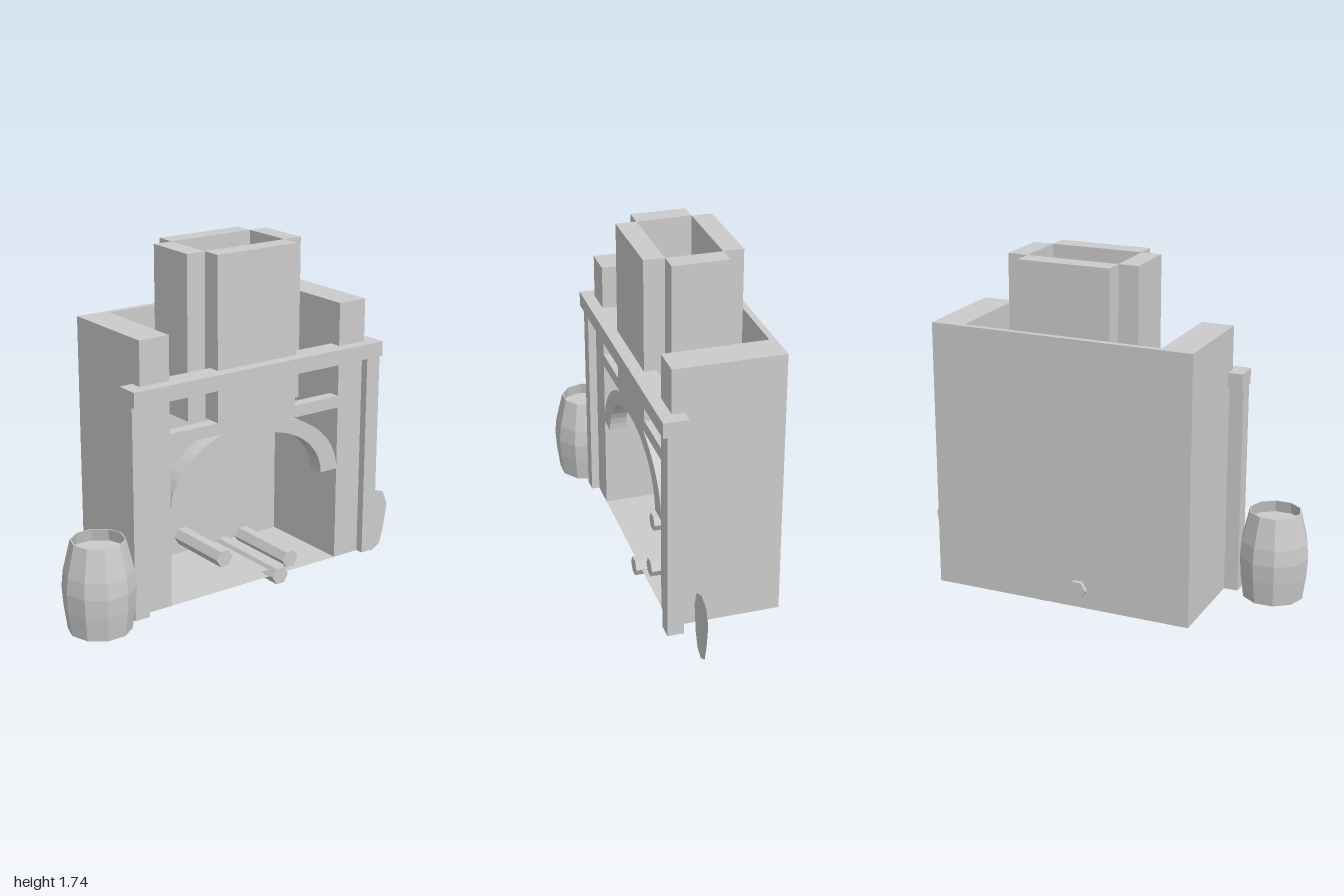
import * as THREE from 'three';

const material = new THREE.MeshStandardMaterial({ color: 0xcccccc, flatShading: true });
const thin = new THREE.MeshStandardMaterial({ color: 0xcccccc, flatShading: true, side: THREE.DoubleSide });

export function createModel() {
  const group = new THREE.Group();

  const add = (name, geometry, mat = material) => {
    const mesh = new THREE.Mesh(geometry, mat);
    mesh.name = name;
    group.add(mesh);
    return mesh;
  };

  // Box given by its limits on each axis
  const box = (name, [x0, x1], [y0, y1], [z0, z1]) =>
    add(name, new THREE.BoxGeometry(x1 - x0, y1 - y0, z1 - z0))
      .position.set((x0 + x1) / 2, (y0 + y1) / 2, (z0 + z1) / 2);

  // Horizontal sheet without thickness
  const sheet = (name, [x0, x1], y, [z0, z1]) =>
    add(name, new THREE.PlaneGeometry(x1 - x0, z1 - z0).rotateX(-Math.PI / 2), thin)
      .position.set((x0 + x1) / 2, y, (z0 + z1) / 2);

  const cx = 0.07; // middle of the fireplace
  const span = (a, b, side) => (side > 0 ? [cx + a, cx + b] : [cx - b, cx - a]);

  // Fireplace body: walls, pilasters, floor
  for (const side of [-1, 1]) {
    box('sideWall', span(0.5, 0.66, side), [0.08, 1.41], [-0.34, 0.19]);
    box('pilaster', span(0.65, 0.73, side), [0.08, 1.12], [0.15, 0.23]);
    box('chimneySide', span(0.23, 0.33, side), [0.94, 1.74], [-0.18, 0.09]);
  }
  box('backWall', [-0.43, 0.57], [0.08, 1.41], [-0.34, -0.31]);
  sheet('floor', [-0.43, 0.57], 0.08, [-0.34, 0.19]);
  sheet('hearthBed', [-0.13, 0.3], 0.105, [-0.27, 0.17]);
  box('mantelShelf', [-0.66, 0.8], [1.12, 1.195], [0.13, 0.25]);
  box('lintel', [-0.43, 0.57], [0.88, 0.94], [0.13, 0.19]);

  // Chimney front and back slabs
  box('chimneyFront', [-0.16, 0.3], [0.94, 1.74], [0.09, 0.19]);
  box('chimneyBack', [-0.16, 0.3], [0.94, 1.74], [-0.28, -0.18]);

  // Elliptical arch under the lintel
  const arch = new THREE.Shape();
  arch.absellipse(cx, 0.56, 0.5, 0.35, 0, Math.PI, false);
  arch.absellipse(cx, 0.56, 0.4, 0.28, Math.PI, 0, true);
  arch.closePath();
  add('arch', new THREE.ExtrudeGeometry(arch, { depth: 0.085, bevelEnabled: false, curveSegments: 12 }))
    .position.z = 0.105;

  // Hexagonal logs: x, y, back z, front z
  for (const [x, y, z0, z1] of [
    [-0.025, 0.175, -0.36, 0.06],
    [0.2, 0.083, -0.27, 0.22],
    [0.3, 0.13, -0.23, 0.17],
  ]) {
    const geometry = new THREE.CylinderGeometry(0.047, 0.047, z1 - z0, 6)
      .rotateY(Math.PI / 2).rotateX(Math.PI / 2);
    add('log', geometry).position.set(x, y, (z0 + z1) / 2);
  }

  // Ten-sided barrel with a sunken lid
  const profile = [
    [0, 0.08], [0.15, 0.08], [0.166, 0.2], [0.172, 0.29], [0.164, 0.37], [0.128, 0.52],
    [0.122, 0.52], [0.135, 0.46], [0, 0.46],
  ].map(([r, y]) => new THREE.Vector2(r, y));
  const barrel = new THREE.LatheGeometry(profile, 10).rotateY(Math.PI / 2);
  add('barrel', barrel, thin).position.set(-0.828, 0, 0.19);

  // Flat leaf-shaped panel beside the fireplace
  const outline = [
    [0.9, 0.345], [0.83, 0.315], [0.8, 0.235], [0.82, 0.1],
    [0.85, 0.025], [0.9, 0], [0.955, 0.03], [0.98, 0.115], [1, 0.245], [0.97, 0.32],
  ].map(([x, y]) => new THREE.Vector2(x, y));
  add('flatPanel', new THREE.ShapeGeometry(new THREE.Shape(outline)), thin).position.z = 0.1;

  return group;
}
